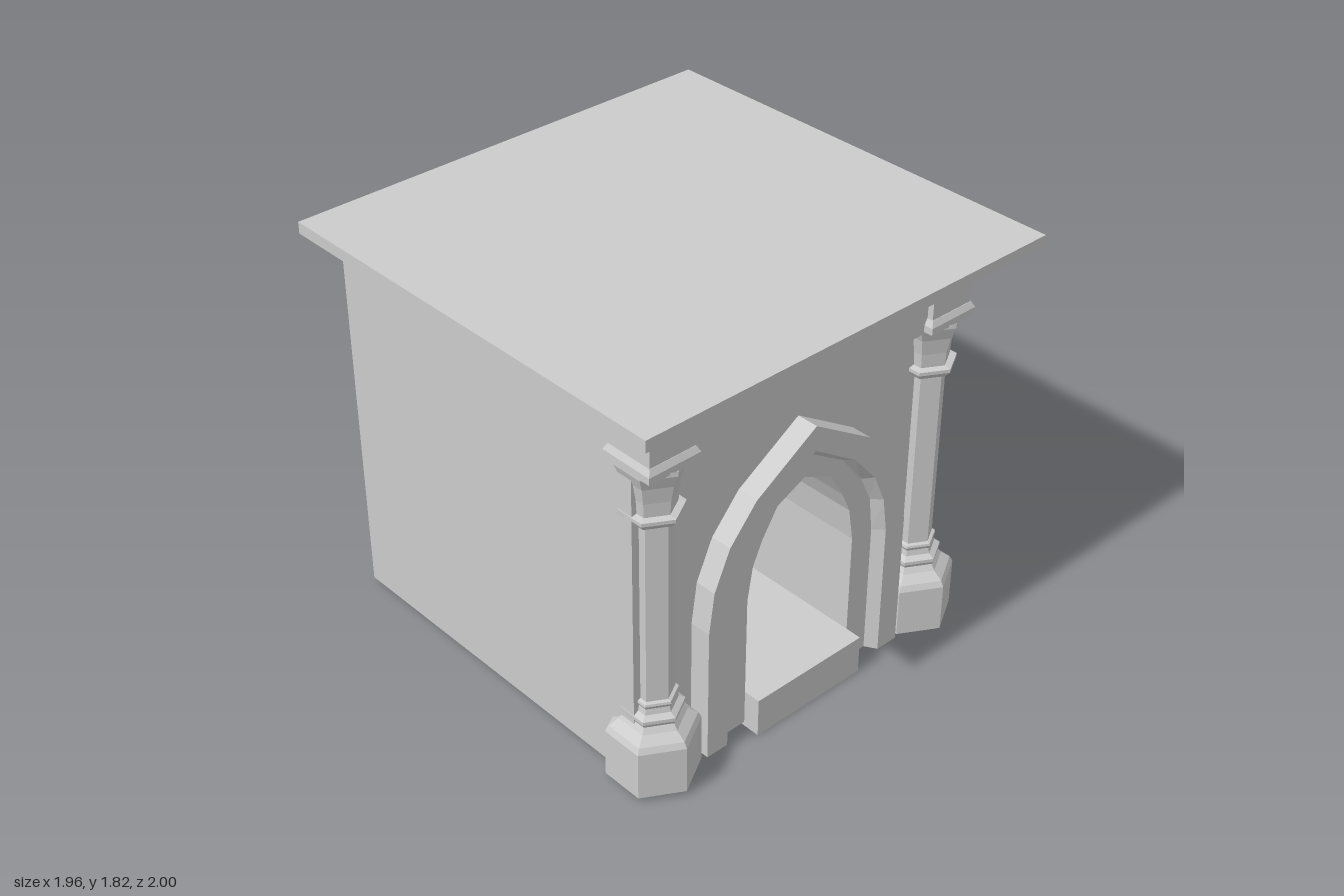
import * as THREE from 'three';

const mat = new THREE.MeshStandardMaterial({ color: 0xcccccc, flatShading: true, side: THREE.DoubleSide });
const FLOOR = 0.02, TOP = 1.765, WALL = 0.7, SIDE = 0.82, T = 0.02;

function add(parent, name, geometry) {
  const mesh = new THREE.Mesh(geometry, mat);
  mesh.name = name;
  parent.add(mesh);
  return mesh;
}

// Box given by its min and max on each axis
function box(parent, name, x0, x1, y0, y1, z0, z1) {
  const g = new THREE.BoxGeometry(x1 - x0, y1 - y0, z1 - z0);
  g.translate((x0 + x1) / 2, (y0 + y1) / 2, (z0 + z1) / 2);
  return add(parent, name, g);
}

// Full pointed arch outline from one half: [half width, height] up to the apex
function arch(half) {
  const right = [[half[0][0], FLOOR], ...half];
  const left = right.slice(0, -1).reverse().map(([w, y]) => [-w, y]);
  return [...right, ...left].map(([w, y]) => new THREE.Vector2(w, y));
}

const outer = arch([[0.53, 0.63], [0.505, 0.81], [0.43, 0.98], [0.3, 1.13], [0, 1.32]]);
const mid = arch([[0.425, 0.63], [0.4, 0.79], [0.34, 0.925], [0.22, 1.065], [0, 1.21]]);
const inner = arch([[0.395, 0.62], [0.375, 0.78], [0.315, 0.905], [0.205, 1.045], [0, 1.175]]);
const opening = arch([[0.285, 0.63], [0.26, 0.78], [0.215, 0.88], [0.14, 1.0], [0, 1.065]]);

// Surface through a list of [outline, depth along x]
function loft(rings) {
  const pos = [], index = [], n = rings[0][0].length;
  rings.forEach(([pts, x]) => pts.forEach(p => pos.push(x, p.y, -p.x)));
  for (let r = 0; r < rings.length - 1; r++) {
    for (let i = 0; i < n - 1; i++) {
      const a = r * n + i, b = a + n;
      index.push(a, a + 1, b, a + 1, b + 1, b);
    }
  }
  const g = new THREE.BufferGeometry();
  g.setAttribute('position', new THREE.Float32BufferAttribute(pos, 3));
  g.setIndex(index);
  const flat = g.toNonIndexed();
  flat.computeVertexNormals();
  return flat;
}

// Six-sided turned form: profile of [distance to flat, y], one corner facing +x
function hexLathe(profile) {
  const pts = profile.map(([a, y]) => new THREE.Vector2(a / Math.cos(Math.PI / 6), y));
  return new THREE.LatheGeometry(pts, 6, Math.PI / 2);
}

// Square slab with a sloped top edge
function squareCap(half, y0, y1, y2, topHalf) {
  const pts = [[0, y0], [half, y0], [half, y1], [topHalf, y2], [0, y2]]
    .map(([a, y]) => new THREE.Vector2(a * Math.SQRT2, y));
  return new THREE.LatheGeometry(pts, 4, Math.PI / 4);
}

function column() {
  const g = new THREE.Group();
  add(g, 'columnBase', hexLathe([[0, FLOOR], [0.162, FLOOR], [0.162, 0.235], [0.15, 0.26],
    [0.115, 0.29], [0.1, 0.315]]));
  add(g, 'columnFoot', hexLathe([[0.1, 0.315], [0.107, 0.33], [0.107, 0.345], [0.085, 0.36],
    [0.08, 0.385], [0.087, 0.4], [0.085, 0.41], [0.073, 0.415]]));
  add(g, 'columnShaft', hexLathe([[0.073, 0.4], [0.073, 1.23]]));
  add(g, 'columnRing', hexLathe([[0.073, 1.22], [0.09, 1.225], [0.108, 1.25], [0.108, 1.265], [0.082, 1.27]]));
  add(g, 'columnCapital', hexLathe([[0.082, 1.265], [0.086, 1.33], [0.098, 1.4], [0.118, 1.455], [0.118, 1.475]]));
  add(g, 'capitalSlab', squareCap(0.121, 1.465, 1.495, 1.52, 0.108));
  box(g, 'upperBlock', -0.106, 0.106, 1.51, 1.71, -0.106, 0.106);
  add(g, 'topSlab', squareCap(0.127, 1.7, 1.755, TOP, 0.12));
  return g;
}

export function createModel() {
  const model = new THREE.Group();
  model.name = 'fireplace';

  // Hollow chimney breast, open underneath
  const body = new THREE.Group();
  body.name = 'body';
  model.add(body);
  box(body, 'backWall', -0.98, -0.98 + T, FLOOR, TOP, -SIDE, SIDE);
  for (const s of [-1, 1]) {
    const z = s * (SIDE - T / 2);
    box(body, 'sideWall', -0.98 + T, WALL - T, FLOOR, TOP, z - T / 2, z + T / 2);
  }
  const wall = new THREE.Shape([[-SIDE, FLOOR], [SIDE, FLOOR], [SIDE, TOP], [-SIDE, TOP]]
    .map(p => new THREE.Vector2(...p)));
  wall.holes.push(new THREE.Path(opening));
  const wallGeo = new THREE.ExtrudeGeometry(wall, { depth: T, bevelEnabled: false });
  wallGeo.rotateY(Math.PI / 2).translate(WALL - T, 0, 0);
  add(body, 'frontWall', wallGeo);

  // Mantel shelf and the raised band under it
  box(model, 'mantelShelf', -0.98, 0.98, TOP, 1.815, -1, 1);
  box(model, 'frieze', WALL - T, 0.77, 1.455, 1.64, -0.66, 0.66);

  // Stepped arch surround with its feet
  const rings = [[outer, WALL], [outer, 0.795], [mid, 0.795], [inner, 0.745], [opening, 0.745], [opening, WALL - T]];
  add(model, 'archSurround', loft(rings));
  for (const s of [-1, 1]) {
    const foot = new THREE.ShapeGeometry(new THREE.Shape(
      rings.map(([pts, x]) => new THREE.Vector2(x, s * pts[0].x))));
    foot.rotateX(Math.PI / 2).translate(0, FLOOR, 0);
    add(model, 'archFoot', foot);
  }

  // Firebox vault, its back and the hearth
  add(model, 'fireboxVault', loft([[opening, WALL - T], [opening, 0.06]]));
  const back = new THREE.ShapeGeometry(new THREE.Shape(opening));
  back.rotateY(Math.PI / 2).translate(0.06, 0, 0);
  add(model, 'fireboxBack', back);
  box(model, 'hearth', 0.04, 0.82, 0, 0.175, -0.284, 0.284);

  // Pair of columns
  for (const s of [-1, 1]) {
    const c = column();
    c.name = s > 0 ? 'leftColumn' : 'rightColumn';
    c.position.set(0.69, 0, s * 0.714);
    model.add(c);
  }
  return model;
}
